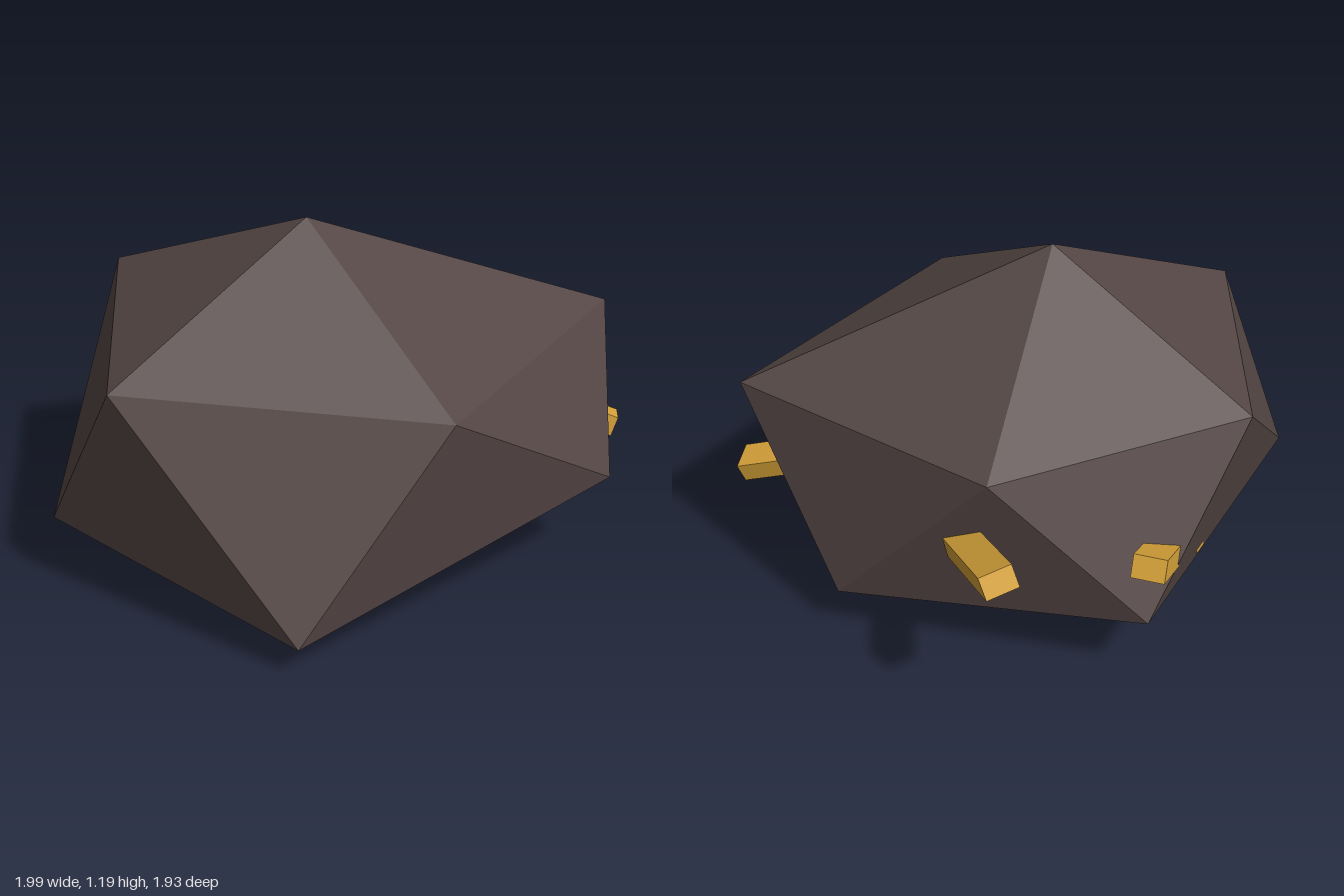
import * as THREE from 'three';

const stone = new THREE.MeshStandardMaterial({ color: 0x544644 });
stone.name = 'dark stone';
const gold = new THREE.MeshStandardMaterial({ color: 0xdaa53a });
gold.name = 'gold';
const V = (p) => new THREE.Vector3(...p);

// Lopsided icosahedron, sliced flat where it meets the ground
function boulderGeometry() {
  const top = V([-0.12, 1.19, 0.135]);
  const under = V([-0.06, -0.31, 0.06]);
  const upper = [[0.95, 0.78, 0.1], [0.165, 0.76, 0.865], [-0.835, 0.81, 0.505],
    [-0.655, 0.86, -0.5], [0.22, 0.77, -0.61]].map(V);
  const lower = [[0.83, 0.315, 0.52], [-0.35, 0.105, 0.965], [-1, 0.245, 0.21],
    [-0.28, 0.26, -0.75], [0.69, 0.17, -0.31]].map(V);
  // Ground outline: where each edge to the underside point crosses y = 0
  const foot = lower.map((p) => p.clone().lerp(under, p.y / (p.y - under.y)));

  const points = [];
  const middle = new THREE.Vector3(0, 0.45, 0);
  const face = (a, b, c) => {
    const normal = b.clone().sub(a).cross(c.clone().sub(a));
    const outward = normal.dot(a.clone().sub(middle)) > 0;
    points.push(...(outward ? [a, b, c] : [a, c, b]));
  };
  for (let i = 0; i < 5; i++) {
    const j = (i + 1) % 5;
    face(top, upper[i], upper[j]);
    face(upper[i], upper[j], lower[i]);
    face(upper[j], lower[i], lower[j]);
    face(lower[i], lower[j], foot[i]);
    face(lower[j], foot[i], foot[j]);
    if (i > 0 && i < 4) face(foot[0], foot[i], foot[j]);
  }
  const geometry = new THREE.BufferGeometry().setFromPoints(points);
  geometry.computeVertexNormals();
  return geometry;
}

// Gold bar ending at tip, pointing along direction, with its width along side
function goldBar(name, tip, direction, side, length, width = 0.11, height = 0.078) {
  const z = V(direction).normalize();
  const y = z.clone().cross(V(side)).normalize();
  const x = y.clone().cross(z);
  const bar = new THREE.Mesh(new THREE.BoxGeometry(width, height, length), gold);
  bar.name = name;
  bar.quaternion.setFromRotationMatrix(new THREE.Matrix4().makeBasis(x, y, z));
  bar.position.copy(V(tip)).addScaledVector(z, -length / 2);
  return bar;
}

export function createModel() {
  const group = new THREE.Group();
  group.name = 'goldOre';

  const boulder = new THREE.Mesh(boulderGeometry(), stone);
  boulder.name = 'boulder';
  group.add(boulder);

  // Bars set into the stone
  group.add(
    goldBar('longBar', [0.235, 0.665, -0.945], [-0.115, 0.377, -0.919], [-0.109, 0.025, 0.02], 0.55),
    goldBar('backBar', [-0.257, 0.545, -0.815], [0.41, 0.41, -0.81], [-0.097, 0, -0.052], 0.35),
    goldBar('sideBar', [0.962, 0.36, 0.225], [0.87, -0.31, 0.38], [0.04, -0.02, -0.105], 0.35, 0.11, 0.07),
    goldBar('buriedBar', [-0.533, 0.324, -0.432], [-0.8, 0, -0.6], [-0.6, 0, 0.8], 0.25, 0.06),
  );
  return group;
}
